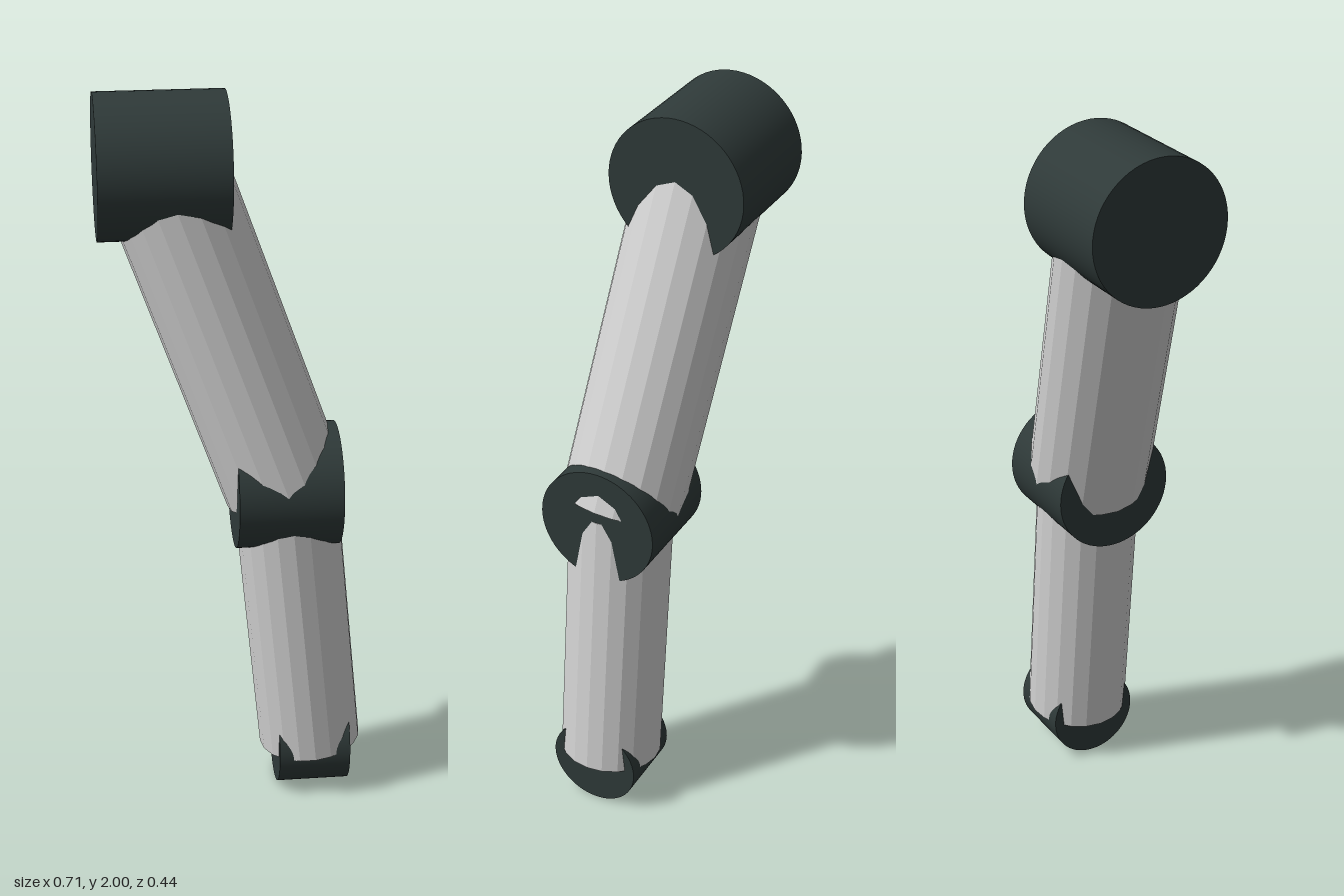
import * as THREE from 'three';

const jointMaterial = new THREE.MeshStandardMaterial({ name: 'dark slate', color: 0x2f3a39 });
const tubeMaterial = new THREE.MeshStandardMaterial({ name: 'light grey', color: 0xd2d2d2 });
tubeMaterial.flatShading = true;

// Joint drum with its axle along x
function joint(name, center, radius, width) {
  const geometry = new THREE.CylinderGeometry(radius, radius, width, 64);
  geometry.rotateZ(Math.PI / 2);
  const mesh = new THREE.Mesh(geometry, jointMaterial);
  mesh.name = name;
  mesh.position.copy(center);
  return mesh;
}

// Faceted limb tube running between two joint centres
function limb(name, from, to, radius) {
  const axis = new THREE.Vector3().subVectors(from, to);
  const mesh = new THREE.Mesh(new THREE.CylinderGeometry(radius, radius, axis.length(), 20), tubeMaterial);
  mesh.name = name;
  mesh.position.addVectors(from, to).multiplyScalar(0.5);
  mesh.quaternion.setFromUnitVectors(new THREE.Vector3(0, 1, 0), axis.normalize());
  return mesh;
}

export function createModel() {
  const shoulder = new THREE.Vector3(-0.187, 1.809, -0.028);
  const elbow = new THREE.Vector3(0.133, 0.928, 0.051);
  const wrist = new THREE.Vector3(0.212, 0.128, 0.053);

  const arm = new THREE.Group();
  arm.name = 'jointedArm';
  arm.add(
    joint('shoulderJoint', shoulder, 0.191, 0.34),
    joint('elbowJoint', elbow, 0.168, 0.28),
    joint('wristJoint', wrist, 0.128, 0.2),
    limb('upperArm', shoulder, elbow, 0.167),
    limb('forearm', elbow, wrist, 0.143)
  );
  return arm;
}
